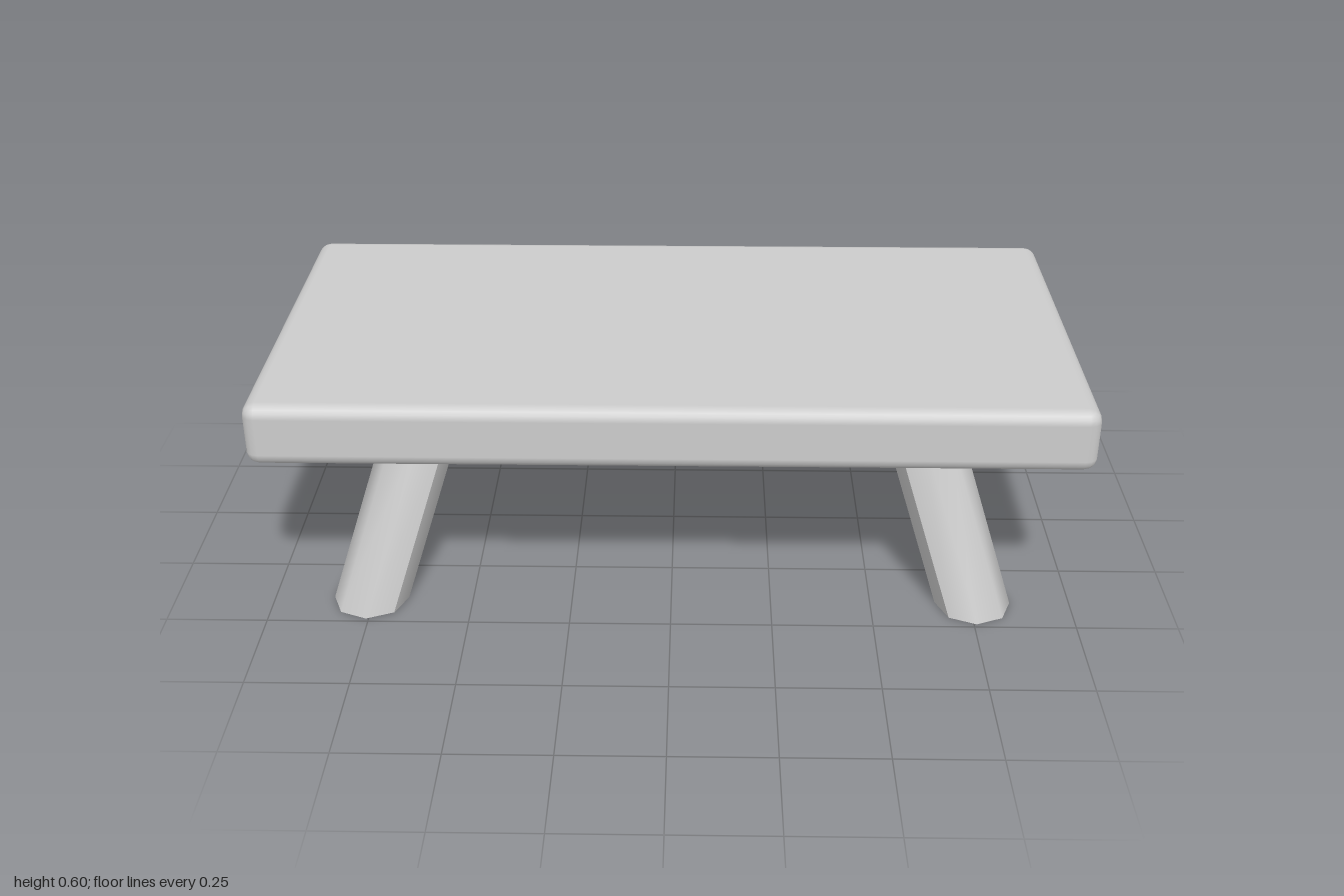
import * as THREE from 'three';
import { toCreasedNormals } from 'three/addons/utils/BufferGeometryUtils.js';
import { RoundedBoxGeometry } from 'three/addons/geometries/RoundedBoxGeometry.js';

const LEG_HEIGHT = 0.46, LEG_RADIUS = 0.094;

// Octagonal leg standing on the floor at (x, z), sheared inwards towards the top.
function legGeometry(x, z) {
  const leg = new THREE.CylinderGeometry(LEG_RADIUS, LEG_RADIUS, LEG_HEIGHT, 8);
  leg.translate(0, LEG_HEIGHT / 2, 0);
  const p = leg.attributes.position;
  for (let i = 0; i < p.count; i++) {
    const y = p.getY(i);
    p.setXYZ(i, p.getX(i) + x - Math.sign(x) * 0.325 * y, y, p.getZ(i) + z - Math.sign(z) * 0.303 * y);
  }
  return toCreasedNormals(leg, THREE.MathUtils.degToRad(47));
}

export function createModel() {
  const model = new THREE.Group();
  model.name = 'lowTable';
  const grey = new THREE.MeshStandardMaterial({ color: 0xcccccc });
  grey.name = 'light grey';

  // Thick slab with rounded edges
  const top = new THREE.Mesh(new RoundedBoxGeometry(2, 0.158, 0.995, 2, 0.032), grey);
  top.name = 'tableTop';
  top.position.set(0, 0.521, 0.0075);
  model.add(top);

  // Four splayed legs
  for (const [side, x] of [['Left', 0.757], ['Right', -0.757]]) {
    for (const [end, z] of [['front', 0.395], ['back', -0.411]]) {
      const leg = new THREE.Mesh(legGeometry(x, z), grey);
      leg.name = `${end}${side}Leg`;
      model.add(leg);
    }
  }
  return model;
}
